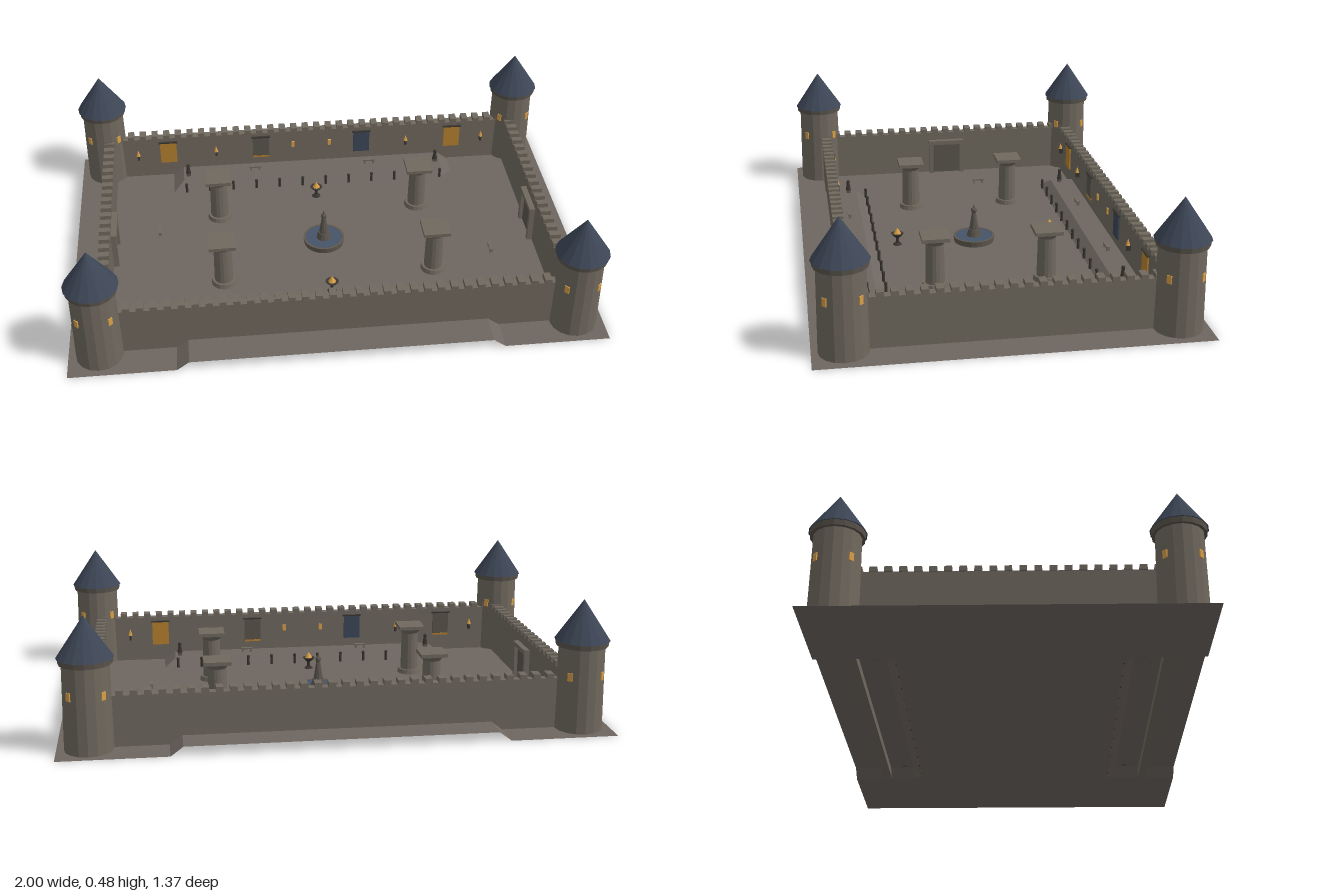
import * as THREE from 'three';

const mat = (name, color, extra = {}) => {
  const m = new THREE.MeshStandardMaterial({ color, flatShading: true, ...extra });
  m.name = name;
  return m;
};

export function createModel() {
  const root = new THREE.Group();
  root.name = 'walledCourtyard';
  const ground = mat('earth', 0x6e6660, { side: THREE.DoubleSide });
  const stone = mat('stone', 0x6f685e);
  const trim = mat('darkStone', 0x5a544c);
  const slate = mat('slateRoof', 0x3d4656);
  const water = mat('water', 0x465468);
  const iron = mat('iron', 0x3a3631);
  const amber = mat('amberLight', 0xd99f48);
  const gold = mat('goldCloth', 0xb5802f);
  const blue = mat('blueCloth', 0x3c4658);

  const add = (parent, name, geo, material, x = 0, y = 0, z = 0) => {
    const m = new THREE.Mesh(geo, material);
    m.name = name;
    m.position.set(x, y, z);
    parent.add(m);
    return m;
  };
  const group = (name, x = 0, y = 0, z = 0) => {
    const g = new THREE.Group();
    g.name = name;
    g.position.set(x, y, z);
    root.add(g);
    return g;
  };
  const box = (w, h, d) => new THREE.BoxGeometry(w, h, d);
  const cyl = (top, bottom, h, n = 12) => new THREE.CylinderGeometry(top, bottom, h, n);
  const signs = [-1, 1];
  const terrace = 0.034;

  // Ground sheet with a raised terrace along the front and back
  const xs = [-1, -0.605, -0.56, 0.56, 0.605, 1];
  const zs = [-0.685, -0.437, -0.396, 0.396, 0.437, 0.685];
  const sheet = new THREE.PlaneGeometry(1, 1, 5, 5).rotateX(-Math.PI / 2);
  for (let i = 0; i < 36; i++) {
    const ix = i % 6, iz = Math.floor(i / 6);
    const raised = (ix === 2 || ix === 3) && iz !== 2 && iz !== 3;
    sheet.attributes.position.setXYZ(i, xs[ix], raised ? terrace : 0, zs[iz]);
  }
  sheet.computeVertexNormals();
  add(root, 'ground', sheet, ground);

  // Curtain walls with merlons
  const wallH = 0.19, pitch = 0.05;
  const wall = (name, length, x, z, alongX) => {
    const g = group(name, x, 0, z);
    if (!alongX) g.rotation.y = Math.PI / 2;
    add(g, 'wallBody', box(length, wallH - 0.002, 0.034), stone, 0, wallH / 2 + 0.001, 0);
    const n = Math.floor(length / pitch);
    for (let i = 0; i <= n; i++) {
      add(g, 'merlon', box(0.026, 0.019, 0.043), stone, (i - n / 2) * pitch, wallH + 0.0085, 0);
    }
  };
  for (const s of signs) {
    wall(s > 0 ? 'frontWall' : 'backWall', 1.66, 0, s * 0.55, true);
    wall(s > 0 ? 'leftWall' : 'rightWall', 1.04, s * 0.865, 0, false);
  }

  // Corner towers
  for (const sx of signs) for (const sz of signs) {
    const t = group('cornerTower', sx * 0.885, 0, sz * 0.575);
    add(t, 'towerBody', cyl(0.083, 0.087, 0.318, 16), stone, 0, 0.161, 0);
    add(t, 'towerCornice', cyl(0.096, 0.094, 0.02, 16), trim, 0, 0.326, 0);
    add(t, 'towerRoof', new THREE.ConeGeometry(0.1, 0.148, 16), slate, 0, 0.41, 0);
    for (let k = 0; k < 4; k++) {
      const a = Math.PI / 4 + k * Math.PI / 2;
      const w = add(t, 'towerWindow', box(0.018, 0.03, 0.008), amber,
        Math.sin(a) * 0.083, 0.212, Math.cos(a) * 0.083);
      w.rotation.y = a;
    }
  }

  // Wall hangings, torches and windows inside the long walls
  for (const s of signs) {
    const g = group(s > 0 ? 'frontWallDecor' : 'backWallDecor', 0, 0, s * 0.533);
    if (s > 0) g.rotation.y = Math.PI;
    const cloths = [gold, trim, blue, s > 0 ? trim : gold];
    [-0.62, -0.22, 0.22, 0.62].forEach((x, i) => {
      add(g, 'banner', box(0.07, 0.1, 0.006), cloths[i], x, 0.12, 0.004);
      add(g, 'bannerRod', box(0.08, 0.005, 0.01), iron, x, 0.172, 0.005);
      if (cloths[i] === trim) add(g, 'bannerHem', box(0.07, 0.008, 0.008), gold, x, 0.074, 0.004);
    });
    for (const x of [-0.75, -0.415, 0.415, 0.75]) {
      add(g, 'torchBracket', box(0.008, 0.022, 0.016), iron, x, 0.105, 0.008);
      add(g, 'torchFlame', new THREE.ConeGeometry(0.009, 0.028, 8), amber, x, 0.13, 0.011);
    }
    for (const x of [-0.08, 0.08]) add(g, 'wallWindow', box(0.014, 0.026, 0.006), amber, x, 0.125, 0.003);
  }

  // Gates inside the short walls
  for (const s of signs) {
    const g = group('gate', s * 0.848, 0, 0);
    g.rotation.y = -s * Math.PI / 2;
    add(g, 'gateDoor', box(0.13, 0.13, 0.008), trim, 0, 0.067, 0.003);
    for (const p of signs) add(g, 'gatePost', box(0.018, 0.145, 0.022), stone, p * 0.07, 0.0745, 0.01);
    add(g, 'gateLintel', box(0.16, 0.018, 0.024), stone, 0, 0.147, 0.011);
  }

  // Courtyard pillars
  for (const sx of signs) for (const sz of signs) {
    const p = group('pillar', sx * 0.415, 0, sz * 0.21);
    add(p, 'pillarBase', cyl(0.046, 0.05, 0.018, 16), stone, 0, 0.01, 0);
    add(p, 'pillarShaft', cyl(0.034, 0.037, 0.155, 16), stone, 0, 0.096, 0);
    add(p, 'pillarCapital', cyl(0.05, 0.034, 0.02, 16), stone, 0, 0.183, 0);
    add(p, 'pillarSlab', box(0.104, 0.014, 0.104), stone, 0, 0.2, 0);
  }

  // Central fountain
  const f = group('fountain');
  const basin = [[0.08, 0.001], [0.083, 0.024], [0.074, 0.024], [0.072, 0.014], [0, 0.014]];
  add(f, 'fountainBasin', new THREE.LatheGeometry(basin.map(p => new THREE.Vector2(...p)), 24),
    mat('basinStone', 0x5f594f, { side: THREE.DoubleSide }));
  add(f, 'fountainWater', cyl(0.075, 0.073, 0.006, 24), water, 0, 0.02, 0);
  add(f, 'fountainPlinth', cyl(0.022, 0.03, 0.03, 12), trim, 0, 0.036, 0);
  add(f, 'fountainFigure', cyl(0.008, 0.019, 0.07, 10), trim, 0, 0.086, 0);
  add(f, 'fountainHead', new THREE.SphereGeometry(0.012, 10, 8), trim, 0, 0.13, 0);
  add(f, 'fountainTip', new THREE.ConeGeometry(0.006, 0.02, 8), trim, 0, 0.147, 0);

  for (const s of signs) {
    // Braziers
    const b = group('brazier', 0, 0, s * 0.31);
    add(b, 'brazierFoot', cyl(0.012, 0.018, 0.008), iron, 0, 0.006, 0);
    add(b, 'brazierStem', cyl(0.006, 0.006, 0.026, 8), iron, 0, 0.022, 0);
    add(b, 'brazierBowl', cyl(0.026, 0.01, 0.016), iron, 0, 0.041, 0);
    add(b, 'brazierFlame', new THREE.ConeGeometry(0.017, 0.026, 8), amber, 0, 0.06, 0);

    // Posts along the terrace edge
    for (let i = 0; i <= 11; i++) {
      const x = -0.55 + i * 0.1;
      add(root, 'edgePost', cyl(0.005, 0.006, 0.034, 8), iron, x, 0.018, s * 0.396);
      add(root, 'edgePostKnob', new THREE.SphereGeometry(0.007, 8, 6), iron, x, 0.038, s * 0.396);
    }

    // Terrace benches and statues
    for (const sx of signs) {
      const bench = group('terraceBench', sx * 0.25, terrace, s * 0.485);
      add(bench, 'benchSeat', box(0.052, 0.006, 0.014), stone, 0, 0.016, 0);
      for (const e of signs) add(bench, 'benchLeg', box(0.006, 0.014, 0.012), stone, e * 0.018, 0.007, 0);
      const st = group('statue', sx * 0.54, terrace, s * 0.472);
      add(st, 'statuePlinth', box(0.018, 0.012, 0.018), trim, 0, 0.006, 0);
      add(st, 'statueBody', cyl(0.006, 0.011, 0.032, 8), iron, 0, 0.028, 0);
      add(st, 'statueHead', new THREE.SphereGeometry(0.008, 8, 6), iron, 0, 0.049, 0);
    }

    // Courtyard benches
    const cb = group('courtyardBench', s * 0.665, 0, s * 0.123);
    add(cb, 'benchSeat', box(0.012, 0.006, 0.05), stone, 0, 0.017, 0);
    for (const e of signs) add(cb, 'benchLeg', box(0.01, 0.014, 0.006), stone, 0, 0.008, e * 0.018);
  }
  return root;
}
